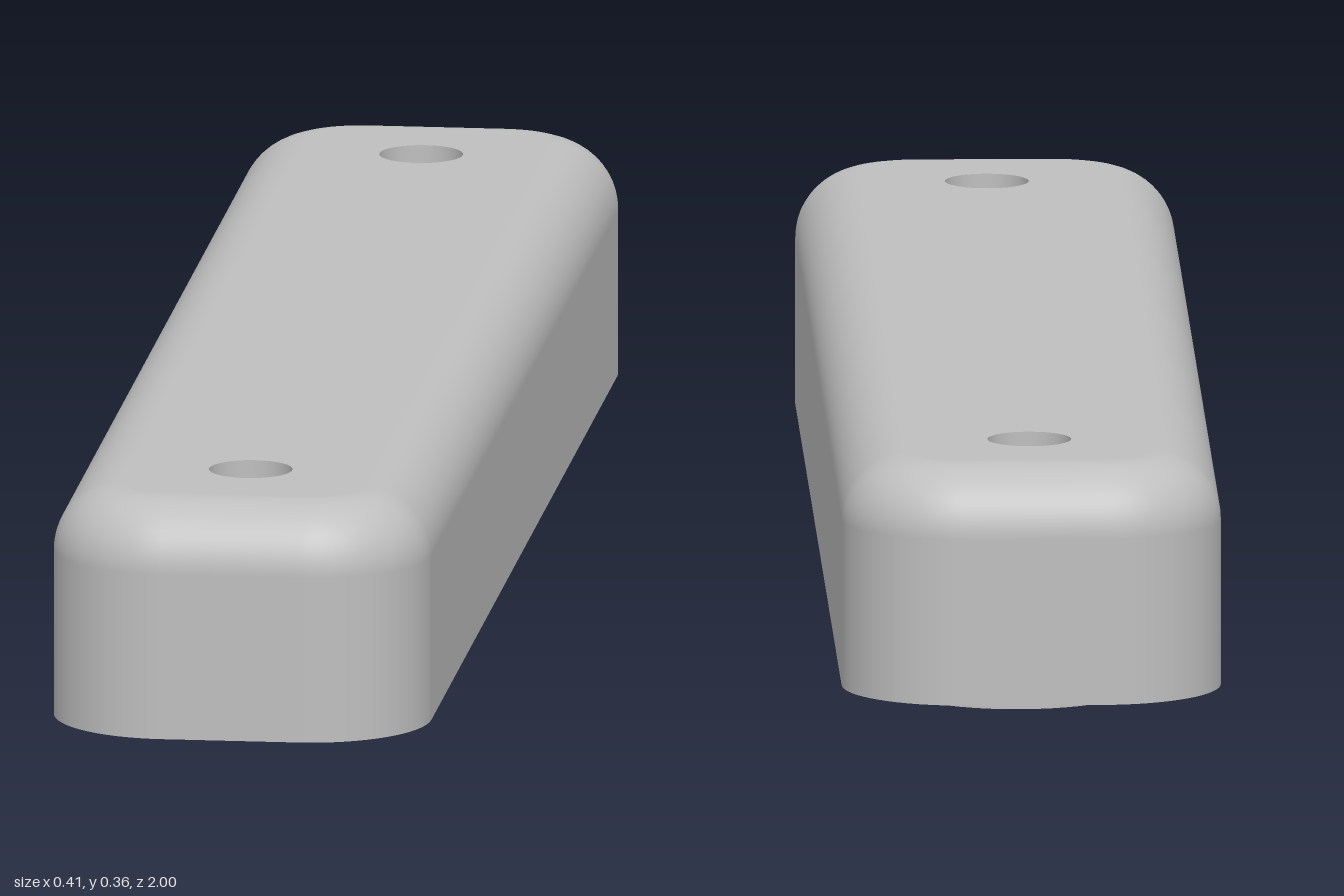
import * as THREE from 'three';

const HALF_W = 0.204, HALF_L = 1, CORNER = 0.13;  // bar plan
const BASE = 0.104, TOP = 0.359, FILLET = 0.074;  // bar heights and top rounding
const HOLE_R = 0.045, BORE_R = 0.121, BORE_D = 0.05, HOLE_Z = 0.797;
const PEG_R = 0.128, PEG_Z = 0.308;
const ARC = 16, SEG = 48;

// Rounded rectangle outline, inset evenly; each point keeps its outward direction
function outline(inset) {
  const points = [];
  for (let c = 0; c < 4; c++) {
    const cx = (c === 0 || c === 3 ? 1 : -1) * (HALF_W - CORNER);
    const cz = (c < 2 ? 1 : -1) * (HALF_L - CORNER);
    for (let i = 0; i <= ARC; i++) {
      const a = (c + i / ARC) * Math.PI / 2;
      const dx = Math.cos(a), dz = Math.sin(a), r = CORNER - inset;
      points.push({ x: cx + r * dx, z: cz + r * dz, dx, dz });
    }
  }
  return points;
}

// Side walls and filleted upper edge, lofted from outline rings
function shellGeometry() {
  const rings = [{ inset: 0, y: BASE, t: 0 }];
  for (let i = 0; i <= 12; i++) {
    const t = i / 12 * Math.PI / 2;
    rings.push({ inset: FILLET * (1 - Math.cos(t)), y: TOP - FILLET * (1 - Math.sin(t)), t });
  }
  const pos = [], nor = [], index = [];
  const n = 4 * (ARC + 1);
  rings.forEach(({ inset, y, t }, k) => {
    outline(inset).forEach((p, i) => {
      pos.push(p.x, y, p.z);
      nor.push(p.dx * Math.cos(t), Math.sin(t), p.dz * Math.cos(t));
      if (k === rings.length - 1) return;
      const a = k * n + i, b = k * n + (i + 1) % n;
      index.push(a, a + n, b, b, a + n, b + n);
    });
  });
  const g = new THREE.BufferGeometry();
  g.setAttribute('position', new THREE.Float32BufferAttribute(pos, 3));
  g.setAttribute('normal', new THREE.Float32BufferAttribute(nor, 3));
  g.setIndex(index);
  return g;
}

// Flat face of the bar with two round openings; dir is 1 for up, -1 for down
function faceGeometry(inset, holeRadius, y, dir) {
  const shape = new THREE.Shape(outline(inset).map(p => new THREE.Vector2(p.x, p.z)));
  for (const s of [-1, 1]) {
    shape.holes.push(new THREE.Path().absarc(0, s * HOLE_Z, holeRadius, 0, Math.PI * 2, true));
  }
  return new THREE.ShapeGeometry(shape, SEG / 2).rotateX(-dir * Math.PI / 2).translate(0, y, 0);
}

export function createModel() {
  const grey = new THREE.MeshStandardMaterial({ color: 0xbfbfbf, side: THREE.DoubleSide });
  grey.name = 'grey';
  const model = new THREE.Group();
  model.name = 'handleBar';
  const add = (name, geometry, y = 0, z = 0) => {
    const mesh = new THREE.Mesh(geometry, grey);
    mesh.name = name;
    mesh.position.set(0, y, z);
    model.add(mesh);
  };
  // Open tube used for the walls of the holes
  const wall = (r, h) => new THREE.CylinderGeometry(r, r, h, SEG, 1, true);

  add('barShell', shellGeometry());
  add('barTop', faceGeometry(FILLET, HOLE_R, TOP, 1));
  add('barUnderside', faceGeometry(0, BORE_R, BASE, -1));

  const shelf = BASE + BORE_D;
  for (const [side, s] of [['front', 1], ['back', -1]]) {
    // Through hole with a wider counterbore below
    add(side + 'HoleWall', wall(HOLE_R, TOP - shelf), (TOP + shelf) / 2, s * HOLE_Z);
    add(side + 'BoreWall', wall(BORE_R, BORE_D), BASE + BORE_D / 2, s * HOLE_Z);
    add(side + 'BoreShelf', new THREE.RingGeometry(HOLE_R, BORE_R, SEG).rotateX(Math.PI / 2), shelf, s * HOLE_Z);
    // Locating peg, sunk slightly into the bar
    const h = BASE + 0.02;
    add(side + 'Peg', new THREE.CylinderGeometry(PEG_R, PEG_R, h, SEG), h / 2, s * PEG_Z);
  }
  return model;
}
